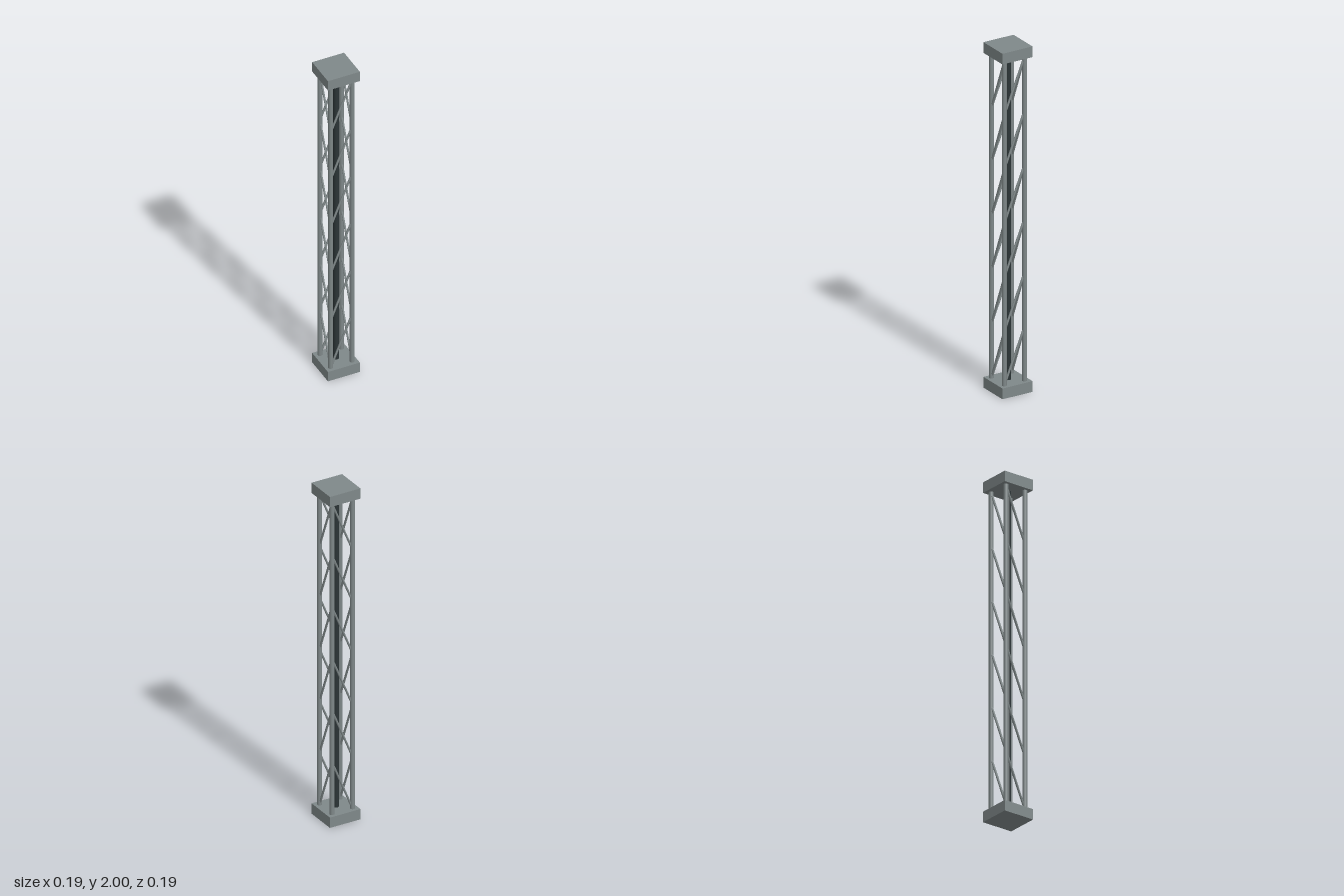
import * as THREE from 'three';

const HEIGHT = 2, CAP = 0.19, CAP_H = 0.062, OFFSET = 0.064, BAYS = 6;

export function createModel() {
  const model = new THREE.Group();
  model.name = 'latticeColumn';
  const steel = new THREE.MeshStandardMaterial({ color: 0x7f8889 });
  steel.name = 'grey steel';
  const dark = new THREE.MeshStandardMaterial({ color: 0x2b3436 });
  dark.name = 'dark core';

  // round bar between two points
  const bar = (name, a, b, radius, material, sides = 12) => {
    const dir = b.clone().sub(a);
    const mesh = new THREE.Mesh(new THREE.CylinderGeometry(radius, radius, dir.length(), sides), material);
    mesh.position.copy(a).add(b).multiplyScalar(0.5);
    mesh.quaternion.setFromUnitVectors(new THREE.Vector3(0, 1, 0), dir.normalize());
    mesh.name = name;
    model.add(mesh);
  };
  const v = (x, y, z) => new THREE.Vector3(x, y, z);

  // end plates
  for (const [name, y] of [['basePlate', CAP_H / 2], ['topPlate', HEIGHT - CAP_H / 2]]) {
    const plate = new THREE.Mesh(new THREE.BoxGeometry(CAP, CAP_H, CAP), steel);
    plate.name = name;
    plate.position.y = y;
    model.add(plate);
  }

  // central core
  const y0 = CAP_H - 0.01, y1 = HEIGHT - CAP_H + 0.01;
  bar('centralCore', v(0, y0, 0), v(0, y1, 0), 0.016, dark, 16);

  // four corner posts
  for (const x of [-OFFSET, OFFSET])
    for (const z of [-OFFSET, OFFSET])
      bar('cornerPost', v(x, y0, z), v(x, y1, z), 0.0135, steel);

  // diagonal braces: one per bay on each face, parallel on opposite faces
  const bay = (HEIGHT - 2 * CAP_H) / BAYS;
  for (let i = 0; i < BAYS; i++) {
    const low = CAP_H + i * bay, high = low + bay;
    for (const s of [-OFFSET, OFFSET]) {
      bar('diagonalBrace', v(-OFFSET, low, s), v(OFFSET, high, s), 0.006, steel, 8);
      bar('diagonalBrace', v(s, low, OFFSET), v(s, high, -OFFSET), 0.006, steel, 8);
    }
  }
  return model;
}
